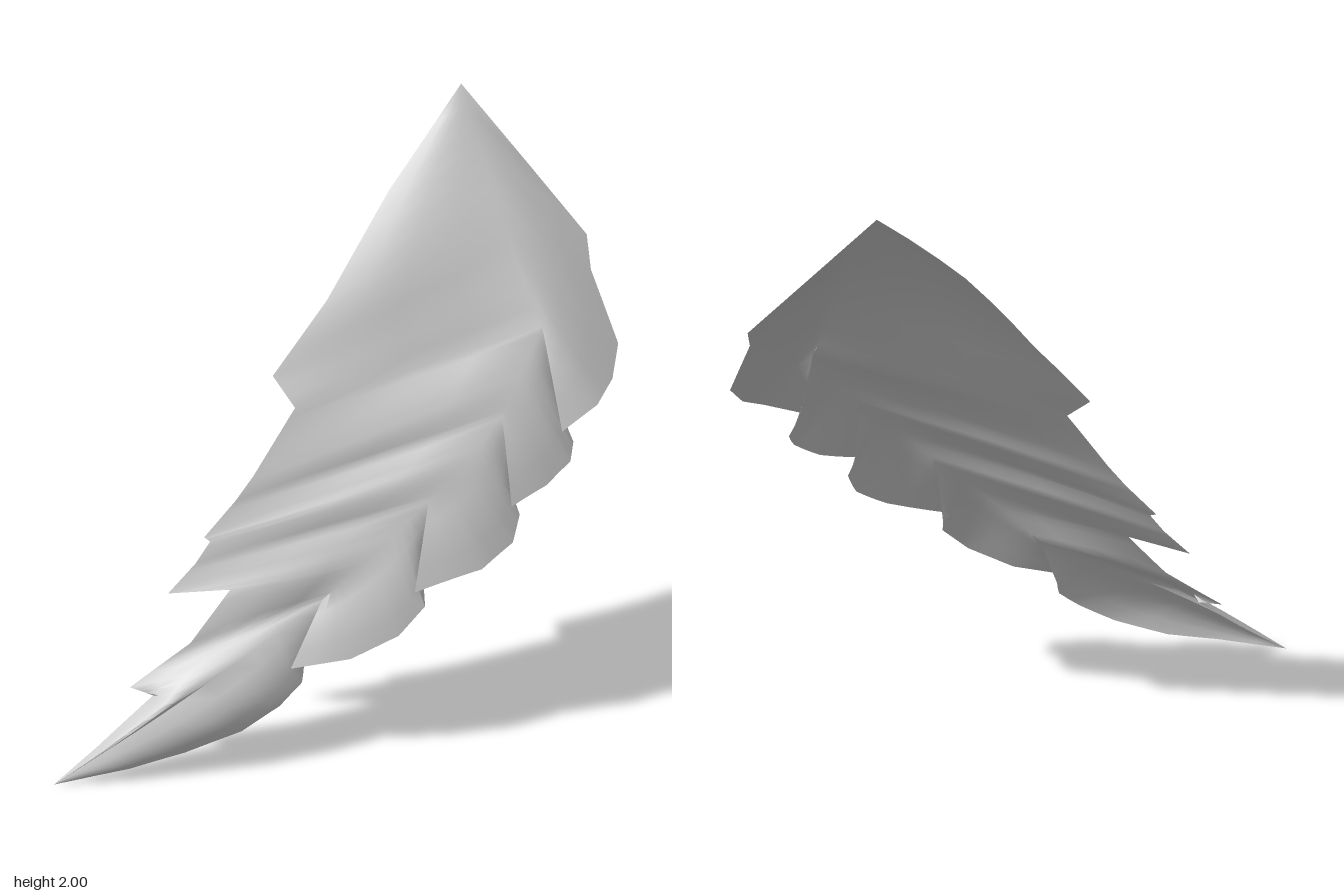
import * as THREE from 'three';
import { toCreasedNormals } from 'three/addons/utils/BufferGeometryUtils.js';

const ROWS = 12; // steps down each feather
const HALF = 4; // steps on each side of its middle line

// Five overlapping feathers from top to bottom. left and right are edge points (x, y),
// z runs from first to last along the right edge, end is where the middle line stops.
const feathers = [
  {
    end: [0.56, 1.39, -0.27], z: [-0.6, -0.14], ease: 1.1, swell: 0.035,
    left: [[0.06, 1.74], [-0.08, 1.45], [-0.22, 1.23], [-0.14, 1.15]],
    right: [[0.22, 2], [0.64, 1.58], [0.67, 1.5], [0.78, 1.3], [0.78, 1.22], [0.75, 1.17], [0.66, 1.11]],
  },
  {
    end: [0.48, 1.15, -0.11], z: [-0.2, -0.01], ease: 2, swell: 0.015,
    left: [[-0.25, 0.94], [-0.3, 0.86]],
    right: [[0.65, 1.12], [0.69, 1.05], [0.69, 1], [0.63, 0.94], [0.54, 0.9]],
  },
  {
    end: [0.29, 0.9, 0.03], z: [-0.06, 0.15], ease: 2, swell: 0.015,
    left: [[-0.39, 0.74], [-0.37, 0.73], [-0.41, 0.66]],
    right: [[0.53, 0.91], [0.56, 0.85], [0.55, 0.77], [0.47, 0.7], [0.28, 0.64]],
  },
  {
    end: [-0.01, 0.57, 0.17], z: [0.08, 0.29], ease: 1, swell: 0.015,
    left: [[-0.49, 0.56], [-0.29, 0.6], [-0.4, 0.43]],
    right: [[0.29, 0.65], [0.31, 0.58], [0.24, 0.49], [0.1, 0.41], [-0.08, 0.375]],
  },
  {
    end: [-0.78, 0, 0.6], z: [0.24, 0.6], ease: 1.4, swell: 0.035,
    left: [[-0.58, 0.28], [-0.5, 0.27], [-0.66, 0.11], [-0.78, 0]],
    right: [[-0.05, 0.37], [-0.05, 0.31], [-0.11, 0.24], [-0.22, 0.16], [-0.39, 0.09], [-0.55, 0.05], [-0.78, 0]],
  },
];

// Point at v (0..1) along a polyline, each segment taking an equal share
function along(points, v) {
  const s = v * (points.length - 1);
  const i = Math.min(Math.floor(s + 1e-6), points.length - 2);
  const [a, b] = [points[i], points[i + 1]];
  return new THREE.Vector3(
    THREE.MathUtils.lerp(a[0], b[0], s - i), THREE.MathUtils.lerp(a[1], b[1], s - i), 0);
}

// Depth of the left edge: it sweeps back with height
const leftDepth = (y) => 0.6 - 0.8425 * y + 0.492 * y ** 2 - 0.1855 * y ** 3;

// Cross-section from the left edge over the middle line to the right edge
function section(f, start, leftStart, v) {
  const l = along([leftStart, ...f.left], v);
  l.z = leftDepth(l.y);
  const r = along(f.right, v);
  r.z = THREE.MathUtils.lerp(f.z[0], f.z[1], v ** f.ease);
  const arch = f.swell * Math.sin(Math.PI * v);
  const m = new THREE.Vector3(...start).lerp(new THREE.Vector3(...f.end), v);
  m.z += arch;
  const row = [];
  for (let j = 0; j <= 2 * HALF; j++) {
    const t = j / HALF;
    const p = t < 1 ? l.clone().lerp(m, t) : m.clone().lerp(r, t - 1);
    p.z += arch * Math.abs(Math.sin(Math.PI * t));
    row.push(p);
  }
  return row;
}

export function createModel() {
  const group = new THREE.Group();
  group.name = 'featheredWing';

  // Each feather starts where the one above stops; the step between them is the fold
  const rows = [];
  let start = [0.22, 2, -0.6];
  let leftStart = [0.22, 2];
  for (const f of feathers) {
    for (let i = 0; i <= ROWS; i++) rows.push(section(f, start, leftStart, i / ROWS));
    start = f.end;
    leftStart = f.left.at(-1);
  }

  const width = 2 * HALF + 1;
  const index = [];
  for (let i = 0; i < rows.length - 1; i++) {
    for (let j = 0; j < width - 1; j++) {
      const a = i * width + j, c = a + width;
      index.push(a, c, a + 1, a + 1, c, c + 1);
    }
  }
  const geometry = new THREE.BufferGeometry().setFromPoints(rows.flat());
  geometry.setIndex(index);

  const material = new THREE.MeshStandardMaterial({ color: 0xcccccc, side: THREE.DoubleSide });
  const wing = new THREE.Mesh(toCreasedNormals(geometry, 0.9), material);
  wing.name = 'wing';
  group.add(wing);
  return group;
}
